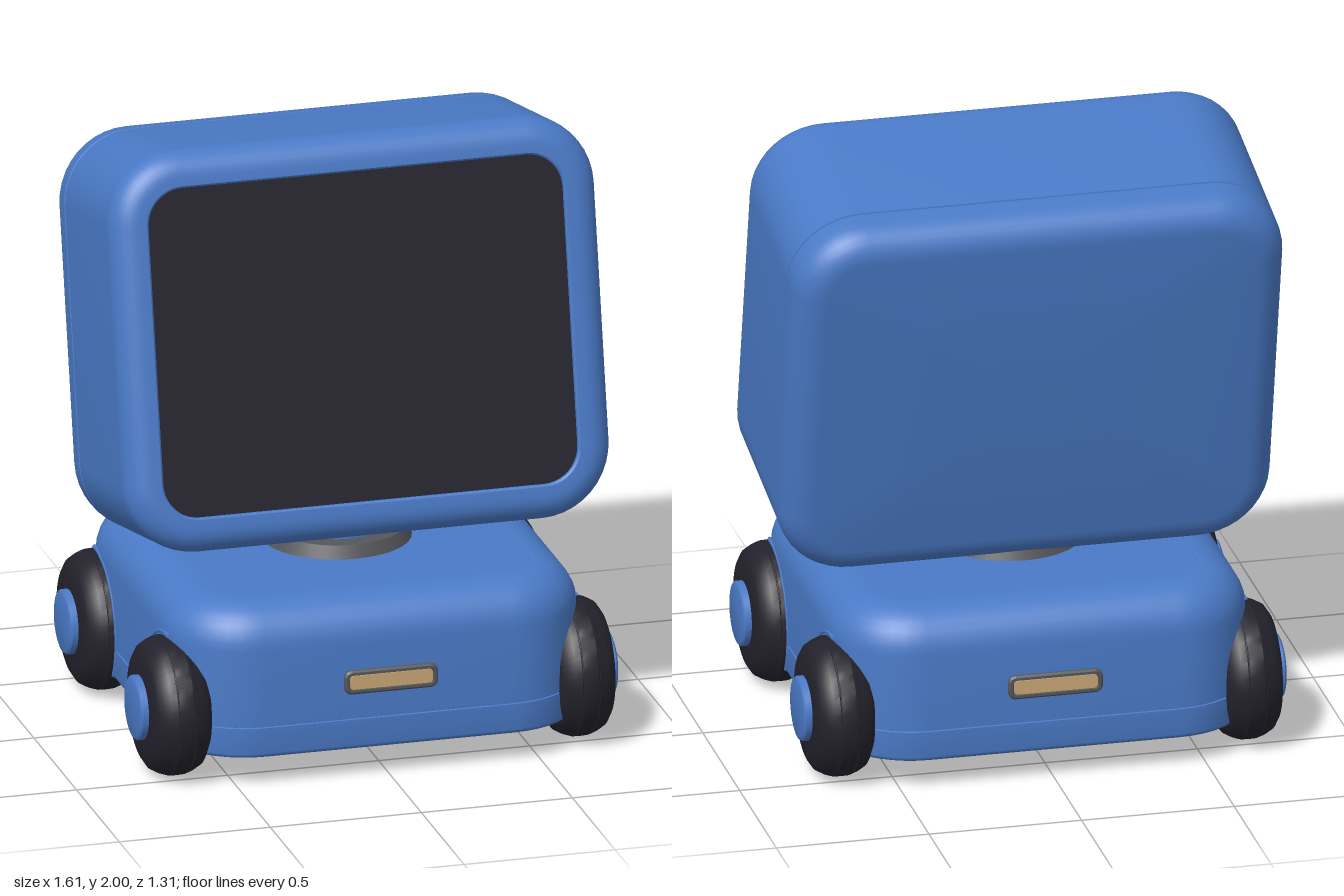
import * as THREE from 'three';
import { toCreasedNormals } from 'three/addons/utils/BufferGeometryUtils.js';

const mat = (name, color, side = THREE.FrontSide) => {
  const m = new THREE.MeshStandardMaterial({ color, side });
  m.name = name;
  return m;
};

// One rounded rectangle, counter-clockwise, shrunk by an inset
function roundedRing(w, h, r, inset, z, seg = 10) {
  const rad = Math.max(r - inset, 0.004), pts = [];
  const cx = w / 2 - inset - rad, cy = h / 2 - inset - rad;
  [[1, 1], [-1, 1], [-1, -1], [1, -1]].forEach(([sx, sy], q) => {
    for (let i = 0; i <= seg; i++) {
      const a = (q + i / seg) * Math.PI / 2;
      pts.push([sx * cx + rad * Math.cos(a), sy * cy + rad * Math.sin(a), z]);
    }
  });
  return pts;
}

// Closed solid through rounded rectangles; profile is a list of [inset, z]
function loft(w, h, r, profile, crease = 0.6) {
  const pos = [], idx = [];
  const rings = profile.map(([inset, z]) => roundedRing(w, h, r, inset, z));
  const n = rings[0].length;
  rings.forEach(ring => ring.forEach(p => pos.push(...p)));
  for (let k = 0; k < rings.length - 1; k++) {
    for (let i = 0; i < n; i++) {
      const a = k * n + i, b = k * n + (i + 1) % n;
      idx.push(a, b, b + n, a, b + n, a + n);
    }
  }
  const last = (rings.length - 1) * n, c0 = rings.length * n, c1 = c0 + 1;
  pos.push(0, 0, profile[0][1], 0, 0, profile[profile.length - 1][1]);
  for (let i = 0; i < n; i++) {
    const j = (i + 1) % n;
    idx.push(c0, j, i, c1, last + i, last + j);
  }
  const g = new THREE.BufferGeometry();
  g.setAttribute('position', new THREE.Float32BufferAttribute(pos, 3));
  g.setIndex(idx);
  return toCreasedNormals(g, crease);
}

// Quarter-round edges for a loft profile
function fillet(r, z, closing, seg = 8) {
  const out = [];
  for (let i = 0; i <= seg; i++) {
    const a = (i / seg) * Math.PI / 2;
    out.push(closing
      ? [r * (1 - Math.cos(a)), z - r + r * Math.sin(a)]
      : [r * (1 - Math.sin(a)), z + r - r * Math.cos(a)]);
  }
  return out;
}

// Shallow seam line around a loft
const seam = z => [[0, z - 0.004], [0.005, z - 0.002], [0.005, z + 0.002], [0, z + 0.004]];

export function createModel() {
  const blue = mat('blue paint', 0x4a7ac7);
  const glass = mat('screen glass', 0x24232e);
  const rubber = mat('tyre rubber', 0x23222c);
  const grey = mat('dark grey metal', 0x55565a);
  const tan = mat('lamp tan', 0xc9a676);

  const model = new THREE.Group();
  model.name = 'screenRobot';
  const add = (parent, name, geo, material, x = 0, y = 0, z = 0) => {
    const m = new THREE.Mesh(geo, material);
    m.name = name;
    m.position.set(x, y, z);
    parent.add(m);
    return m;
  };

  // Chassis with filleted top and a slightly sunken deck
  const chassis = add(model, 'chassis', loft(1.36, 1.28, 0.27, [
    ...fillet(0.015, 0.1, false, 3), ...seam(0.205),
    ...fillet(0.14, 0.6, true), [0.15, 0.6], [0.153, 0.595], [0.16, 0.595],
  ]), blue);
  chassis.rotation.x = -Math.PI / 2;

  // Neck
  add(model, 'neckCollar', new THREE.CylinderGeometry(0.225, 0.245, 0.05, 48), grey, 0, 0.612, 0);
  add(model, 'neck', new THREE.CylinderGeometry(0.168, 0.168, 0.13, 48), blue, 0, 0.665, 0);

  // Head, tilted back, with a recessed screen
  const head = new THREE.Group();
  head.name = 'head';
  head.position.set(0, 1.303, -0.03);
  head.rotation.x = -12 * Math.PI / 180;
  model.add(head);
  add(head, 'headShell', loft(1.61, 1.3, 0.235, [
    ...fillet(0.1, -0.367, false), ...seam(-0.216),
    ...fillet(0.085, 0.367, true), [0.112, 0.367], [0.118, 0.361], [0.118, 0.34],
  ]), blue);
  add(head, 'screen', loft(1.374, 1.064, 0.117, [[0, 0.338], [0, 0.346]]), glass);

  // Lamps front and back
  for (const s of [1, -1]) {
    const lamp = new THREE.Group();
    lamp.name = s > 0 ? 'frontLamp' : 'rearLamp';
    lamp.position.set(0, 0.33, s * 0.64);
    if (s < 0) lamp.rotation.y = Math.PI;
    model.add(lamp);
    add(lamp, 'lampFrame', loft(0.31, 0.08, 0.025,
      [[0, -0.02], [0, 0.008], [0.006, 0.014], [0.014, 0.014], [0.016, 0.008]]), grey);
    add(lamp, 'lampLens', loft(0.274, 0.046, 0.012, [[0, 0.004], [0, 0.012]]), tan);
  }

  // Wheels: lathe profiles of [radius, axial position]
  const lathe = pts => toCreasedNormals(
    new THREE.LatheGeometry(pts.map(p => new THREE.Vector2(...p)), 56), 0.6);
  const tyreGeo = lathe([
    [0, -0.097], [0.15, -0.097], [0.18, -0.09], [0.203, -0.075], [0.217, -0.05], [0.224, -0.03],
    [0.221, -0.028], [0.226, -0.024], [0.227, 0], [0.226, 0.024], [0.221, 0.028],
    [0.224, 0.03], [0.217, 0.05], [0.203, 0.075], [0.18, 0.09], [0.15, 0.097], [0, 0.097],
  ]);
  const hubGeo = lathe([[0.105, 0.09], [0.105, 0.115], [0.1, 0.121], [0.094, 0.123], [0, 0.123]]);
  const archGeo = new THREE.TorusGeometry(0.238, 0.008, 8, 32, Math.PI * 0.7);
  for (const sx of [1, -1]) {
    for (const sz of [1, -1]) {
      const wheel = new THREE.Group();
      wheel.name = (sz > 0 ? 'front' : 'rear') + (sx > 0 ? 'Left' : 'Right') + 'Wheel';
      wheel.position.set(sx * 0.668, 0.228, sz * 0.413);
      wheel.rotation.z = -sx * Math.PI / 2;
      model.add(wheel);
      add(wheel, 'tyre', tyreGeo, rubber);
      add(wheel, 'hub', hubGeo, blue);

      // Arch lip on the side of the chassis, from the inner foot over the top
      const arch = add(model, 'wheelArch', archGeo, blue, sx * 0.676, 0.228, sz * 0.413);
      arch.rotation.set(0, sz * Math.PI / 2, 0);
      arch.rotateZ(-Math.PI * 0.17);
    }
  }
  return model;
}
